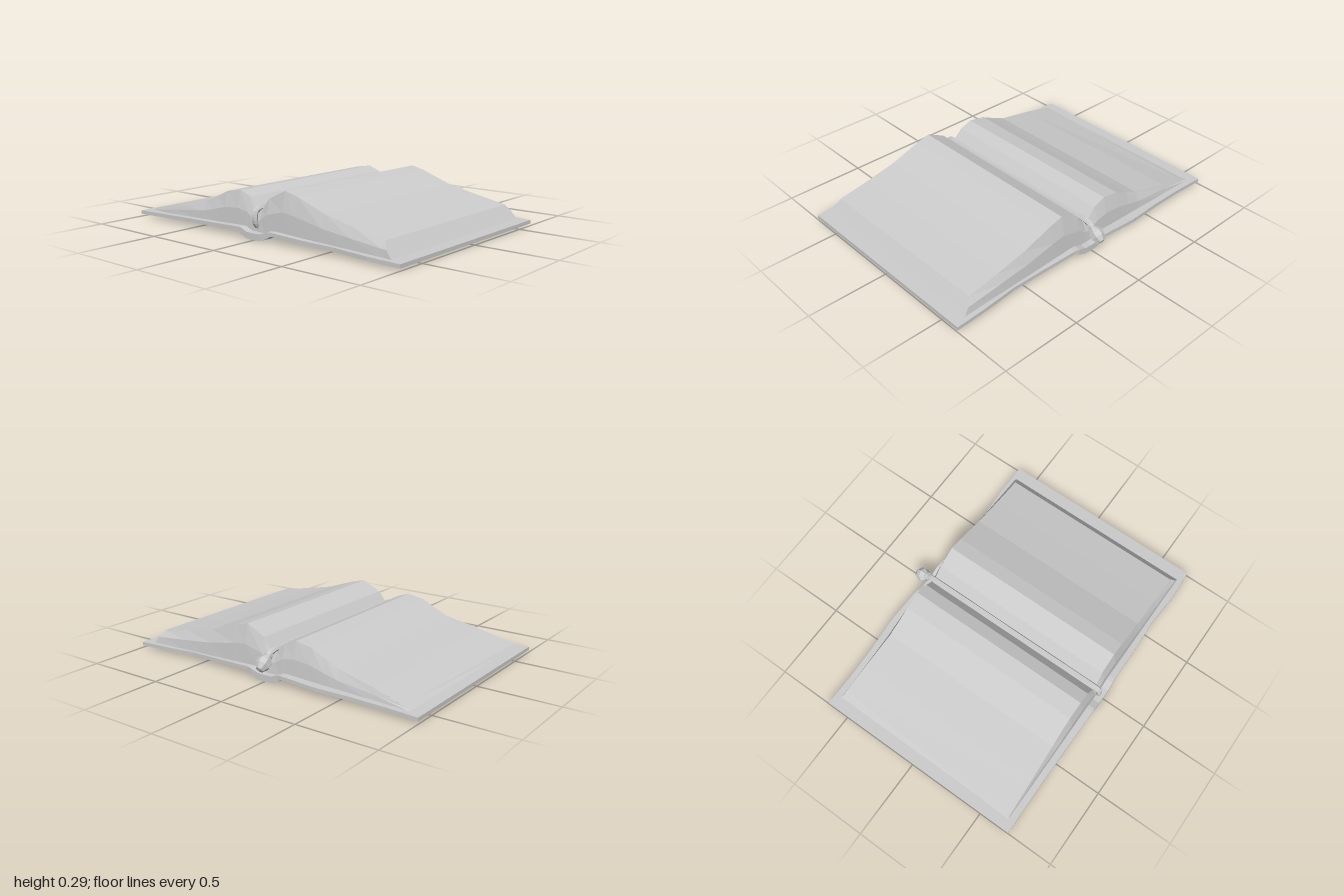
import * as THREE from 'three';

const material = new THREE.MeshStandardMaterial({ color: 0xcccccc, flatShading: true });

function addMesh(parent, name, geometry) {
  const mesh = new THREE.Mesh(geometry, material);
  mesh.name = name;
  parent.add(mesh);
  return mesh;
}

// Skin a row of closed cross-sections running along +x, with both ends capped.
function loft(rings) {
  const n = rings[0].length;
  const index = [];
  for (let i = 0; i < rings.length - 1; i++) {
    for (let j = 0; j < n; j++) {
      const k = (j + 1) % n;
      const a = i * n + j, b = i * n + k, c = b + n, d = a + n;
      index.push(a, b, c, a, c, d);
    }
  }
  const last = (rings.length - 1) * n;
  for (let j = 1; j < n - 1; j++) {
    index.push(0, j + 1, j, last, last + j, last + j + 1);
  }
  const indexed = new THREE.BufferGeometry();
  indexed.setAttribute('position', new THREE.Float32BufferAttribute(rings.flat(2), 3));
  indexed.setIndex(index);
  const geometry = indexed.toNonIndexed();
  geometry.computeVertexNormals();
  return geometry;
}

// Cover: each row is x, underside y, upper y, front z, back z.
function coverGeometry() {
  const rows = [
    [-1, 0.015, 0.037, 0.7, -0.64],
    [-0.8, 0.02, 0.042, 0.698, -0.635],
    [-0.58, 0.026, 0.048, 0.697, -0.64],
    [-0.35, 0.032, 0.054, 0.7, -0.655],
    [-0.12, 0.04, 0.062, 0.703, -0.645],
    [-0.1, 0.024, 0.06, 0.703, -0.642],
    [-0.05, 0.003, 0.042, 0.704, -0.64],
    [0, 0, 0.04, 0.704, -0.64],
    [0.05, 0.003, 0.042, 0.704, -0.64],
    [0.1, 0.022, 0.06, 0.7, -0.64],
    [0.13, 0.04, 0.062, 0.698, -0.635],
    [0.35, 0.032, 0.054, 0.696, -0.623],
    [0.58, 0.026, 0.048, 0.686, -0.614],
    [0.8, 0.02, 0.042, 0.699, -0.628],
    [1, 0.013, 0.035, 0.69, -0.632],
  ];
  return loft(rows.map(([x, low, high, front, back]) => [
    [x, low, front], [x, low, back], [x, high, back], [x, high, front],
  ]));
}

// Page block: each row is base x, top x at the front, top x at the back, top y, front z, back z.
function pagesGeometry() {
  const rows = [
    [-0.94, -0.92, -0.88, 0.055, 0.652, -0.592],
    [-0.7, -0.7, -0.7, 0.106, 0.645, -0.58],
    [-0.46, -0.46, -0.46, 0.155, 0.633, -0.568],
    [-0.37, -0.37, -0.37, 0.195, 0.63, -0.565],
    [-0.28, -0.28, -0.28, 0.237, 0.63, -0.565],
    [-0.17, -0.17, -0.17, 0.256, 0.63, -0.565],
    [-0.09, -0.09, -0.09, 0.226, 0.63, -0.565],
    [-0.035, -0.035, -0.035, 0.165, 0.635, -0.57],
    [0.005, 0.005, 0.005, 0.165, 0.635, -0.57],
    [0.06, 0.06, 0.06, 0.235, 0.63, -0.565],
    [0.18, 0.18, 0.18, 0.292, 0.63, -0.565],
    [0.27, 0.27, 0.27, 0.27, 0.63, -0.565],
    [0.46, 0.46, 0.46, 0.203, 0.63, -0.565],
    [0.66, 0.66, 0.66, 0.16, 0.63, -0.565],
    [0.86, 0.86, 0.86, 0.122, 0.63, -0.565],
    [0.925, 0.862, 0.862, 0.12, 0.63, -0.565],
  ];
  return loft(rows.map(([x, xf, xb, top, front, back]) => {
    const base = 0.035;
    const mid = base + 0.55 * (top - base);
    const xm = (end) => x + 0.55 * (end - x);
    return [
      [x, base, 0.66], [x, base, -0.6],
      [xm(xb), mid, -0.592], [xb, top, back],
      [xf, top, front], [xm(xf), mid, 0.655],
    ];
  }));
}

export function createModel() {
  const book = new THREE.Group();
  book.name = 'openBook';

  addMesh(book, 'cover', coverGeometry());
  addMesh(book, 'pages', pagesGeometry());

  // Cord lying in the gutter, hooked down over the front edge
  const path = [
    [0.07, 0.648], [0.09, 0.668], [0.13, 0.673], [0.16, 0.662], [0.172, 0.635], [0.172, 0.56],
    [0.172, 0], [0.172, -0.5], [0.172, -0.57], [0.164, -0.6], [0.147, -0.625],
  ].map(([y, z]) => new THREE.Vector3(-0.015, y, z));
  const cord = new THREE.CatmullRomCurve3(path);
  addMesh(book, 'bookmarkCord', new THREE.TubeGeometry(cord, 90, 0.017, 6));

  // Faceted bead hanging from the back end of the cord
  const profile = [
    [0, -0.062], [0.022, -0.062], [0.027, -0.048], [0.022, -0.038],
    [0.043, -0.008], [0.043, 0.022], [0.024, 0.055], [0, 0.062],
  ].map(([r, y]) => new THREE.Vector2(r, y));
  const bead = addMesh(book, 'bookmarkBead', new THREE.LatheGeometry(profile, 7));
  bead.position.set(-0.015, 0.125, -0.655);
  bead.quaternion.setFromUnitVectors(
    new THREE.Vector3(0, 1, 0), new THREE.Vector3(0, -0.6, -0.8));

  return book;
}
